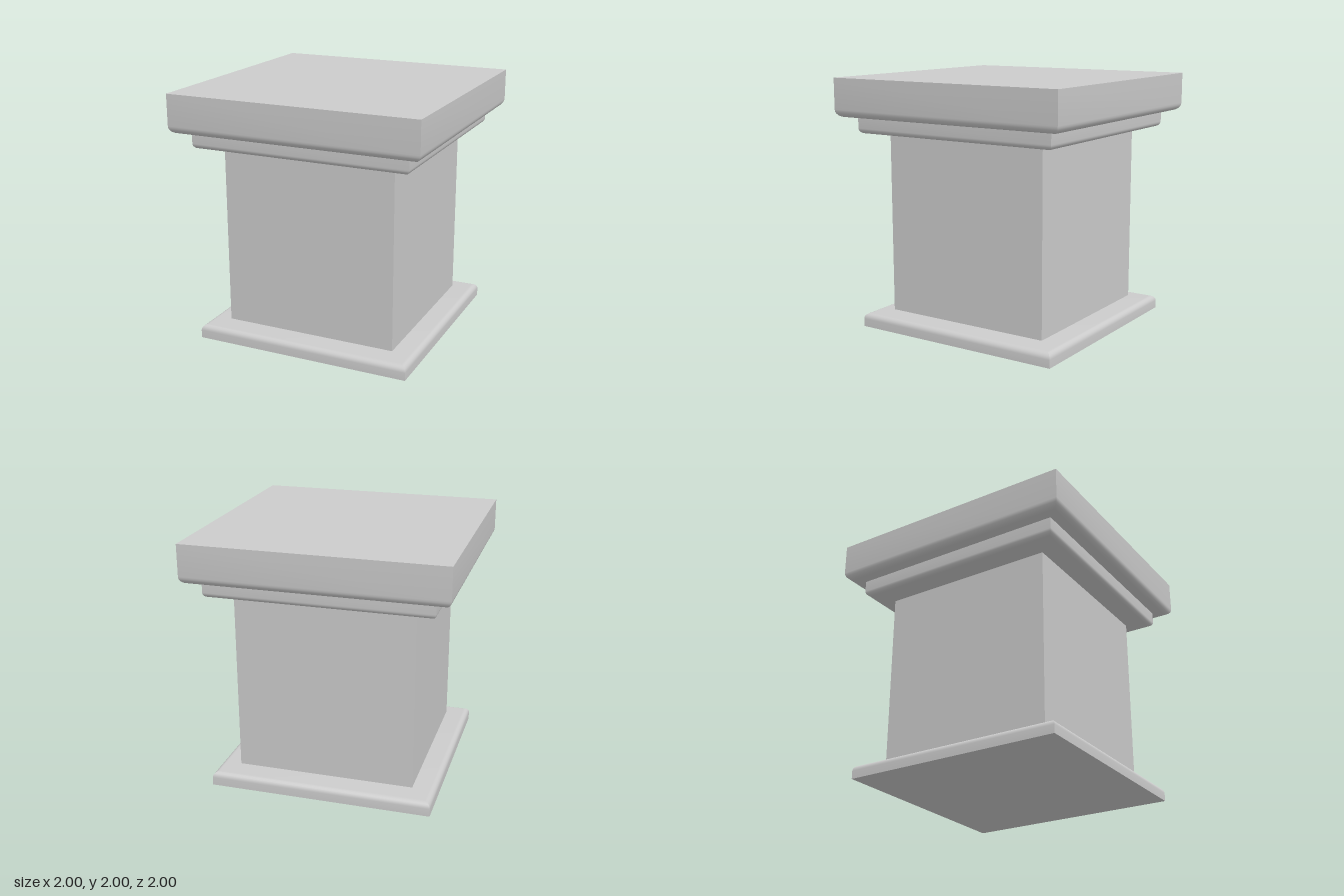
import * as THREE from 'three';
import { toCreasedNormals } from 'three/addons/utils/BufferGeometryUtils.js';

const material = new THREE.MeshStandardMaterial({ color: 0xcccccc });

// Quarter-round from the side (half, y0) to the flat face at y1.
function roundEdge(half, y0, y1, steps = 6) {
  const r = Math.abs(y1 - y0);
  return Array.from({ length: steps + 1 }, (_, i) => {
    const a = (i / steps) * Math.PI / 2;
    return new THREE.Vector2(half - r + r * Math.cos(a), y0 + (y1 - y0) * Math.sin(a));
  });
}

// Square slab with mitred corners: a four-sided lathe of [half width, y] points.
function squareMoulding(name, profile) {
  const points = profile.map((p) => new THREE.Vector2(p.x * Math.SQRT2, p.y));
  const geometry = new THREE.LatheGeometry(points, 4);
  geometry.rotateY(Math.PI / 4);
  const mesh = new THREE.Mesh(toCreasedNormals(geometry, 0.3), material);
  mesh.name = name;
  return mesh;
}

// Slab rounded along its lower edge.
function roundedBelow(name, half, bottom, top, radius) {
  return squareMoulding(name, [
    new THREE.Vector2(0, bottom),
    ...roundEdge(half, bottom + radius, bottom).reverse(),
    new THREE.Vector2(half, top),
    new THREE.Vector2(0, top),
  ]);
}

// Slab rounded along its upper edge.
function roundedAbove(name, half, bottom, top, radius) {
  return squareMoulding(name, [
    new THREE.Vector2(0, bottom),
    new THREE.Vector2(half, bottom),
    ...roundEdge(half, top - radius, top),
    new THREE.Vector2(0, top),
  ]);
}

export function createModel() {
  const pedestal = new THREE.Group();
  pedestal.name = 'pedestal';

  // Square shaft, with a narrow shadow gap above and below
  const shaft = new THREE.Mesh(new THREE.BoxGeometry(1.4, 1.42, 1.4), material);
  shaft.name = 'shaft';
  shaft.position.y = 0.835;

  pedestal.add(
    roundedAbove('base', 0.875, 0, 0.108, 0.045),
    shaft,
    roundedBelow('neckMoulding', 0.875, 1.565, 1.695, 0.04),
    roundedBelow('capSlab', 1, 1.695, 2, 0.06),
  );
  return pedestal;
}
